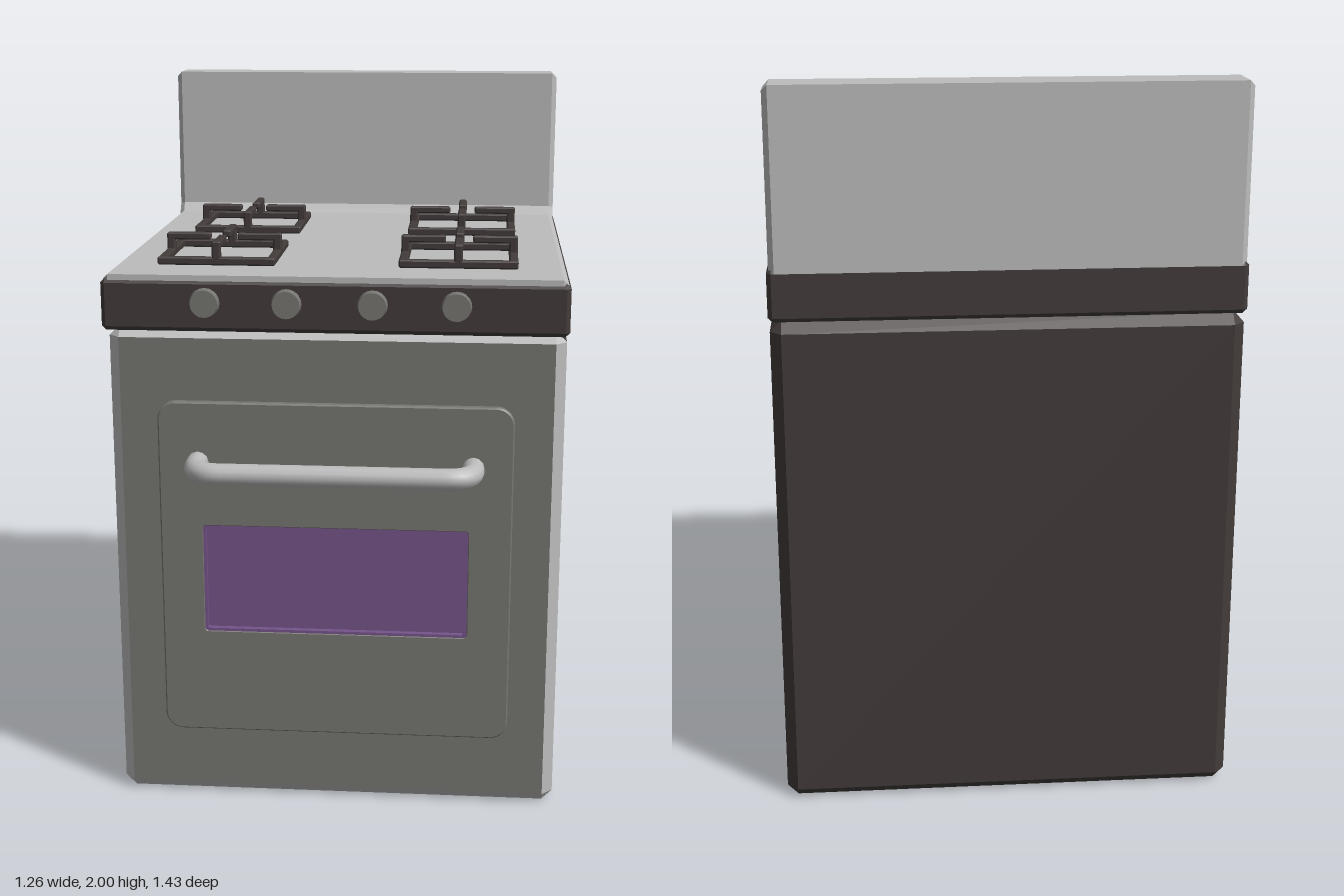
import * as THREE from 'three';
import { ConvexGeometry } from 'three/addons/geometries/ConvexGeometry.js';

const material = (name, color) => {
  const m = new THREE.MeshStandardMaterial({ color });
  m.name = name;
  return m;
};

// Box with every edge cut by a flat chamfer, centred on the origin
function chamferBox(w, h, d, c) {
  const points = [];
  for (const x of [-1, 1]) for (const y of [-1, 1]) for (const z of [-1, 1]) {
    const [a, b, e] = [w / 2, h / 2, d / 2];
    points.push(
      new THREE.Vector3(x * a, y * (b - c), z * (e - c)),
      new THREE.Vector3(x * (a - c), y * b, z * (e - c)),
      new THREE.Vector3(x * (a - c), y * (b - c), z * e));
  }
  return new ConvexGeometry(points);
}

// Rounded rectangle outline between two corners
function roundedRect(x0, y0, x1, y1, r, target = new THREE.Shape()) {
  target.moveTo(x0 + r, y0);
  target.lineTo(x1 - r, y0);
  target.absarc(x1 - r, y0 + r, r, -Math.PI / 2, 0, false);
  target.lineTo(x1, y1 - r);
  target.absarc(x1 - r, y1 - r, r, 0, Math.PI / 2, false);
  target.lineTo(x0 + r, y1);
  target.absarc(x0 + r, y1 - r, r, Math.PI / 2, Math.PI, false);
  target.lineTo(x0, y0 + r);
  target.absarc(x0 + r, y0 + r, r, Math.PI, Math.PI * 1.5, false);
  return target;
}

export function createModel() {
  const root = new THREE.Group();
  root.name = 'stove';
  const dark = material('dark enamel', 0x423b3a);
  const light = material('light steel', 0xbcbcbc);
  const grey = material('grey steel', 0x777672);
  const purple = material('purple glass', 0x75548a);

  const add = (name, geometry, mat, x = 0, y = 0, z = 0, parent = root) => {
    const mesh = new THREE.Mesh(geometry, mat);
    mesh.name = name;
    mesh.position.set(x, y, z);
    parent.add(mesh);
    return mesh;
  };

  // Oven body: dark cabinet, light front chamfer, grey front face
  const body = chamferBox(1.25, 1.39, 1.27, 0.03);
  const normals = body.attributes.normal;
  for (let i = 0; i < normals.count; i += 3) {
    const nz = normals.getZ(i);
    body.addGroup(i, 3, nz > 0.95 ? 2 : nz > 0.3 ? 1 : 0);
  }
  add('ovenBody', body, [dark, light, grey], 0, 0.695, -0.08);

  // Raised door panel with a window opening
  const door = roundedRect(-0.49, 0.21, 0.49, 1.185, 0.05);
  door.holes.push(roundedRect(-0.368, 0.517, 0.368, 0.828, 0.008, new THREE.Path()));
  add('doorPanel', new THREE.ExtrudeGeometry(door,
    { depth: 0.018, bevelEnabled: true, bevelSize: 0.004, bevelThickness: 0.004, bevelOffset: -0.004, bevelSegments: 1, curveSegments: 8 }),
    grey, 0, 0, 0.554);

  // Window glass and its recessed surround
  add('windowGlass', new THREE.BoxGeometry(0.74, 0.315, 0.004), purple, 0, 0.6725, 0.556);
  const surround = roundedRect(-0.37, 0.515, 0.37, 0.83, 0.008);
  surround.holes.push(roundedRect(-0.362, 0.523, 0.362, 0.822, 0.006, new THREE.Path()));
  add('windowSurround', new THREE.ExtrudeGeometry(surround,
    { depth: 0.018, bevelEnabled: false, curveSegments: 4 }), purple, 0, 0, 0.556);

  // Door handle: a bar bent back to the door at both ends
  const v = (x, z) => new THREE.Vector3(x, 1.015, z);
  const path = new THREE.CurvePath();
  path.add(new THREE.LineCurve3(v(-0.38, 0.56), v(-0.38, 0.62)));
  path.add(new THREE.QuadraticBezierCurve3(v(-0.38, 0.62), v(-0.375, 0.683), v(-0.31, 0.685)));
  path.add(new THREE.LineCurve3(v(-0.31, 0.685), v(0.31, 0.685)));
  path.add(new THREE.QuadraticBezierCurve3(v(0.31, 0.685), v(0.375, 0.683), v(0.38, 0.62)));
  path.add(new THREE.LineCurve3(v(0.38, 0.62), v(0.38, 0.56)));
  add('doorHandle', new THREE.TubeGeometry(path, 64, 0.03, 12), light);

  // Dark control slab under the hob
  add('controlSlab', chamferBox(1.256, 0.142, 1.327, 0.012), dark, 0, 1.461, -0.0515);

  // Hob top and backsplash in one L-shaped profile, swept across the width
  const b = 0.015;
  const profile = new THREE.Shape();
  [[-0.605, 1.50], [0.715, 1.50], [0.715, 2.0], [0.597, 2.0], [0.595, 1.57], [0.575, 1.543], [-0.605, 1.543]]
    .forEach(([u, y], i) => (i ? profile.lineTo(u, y) : profile.moveTo(u, y)));
  const top = new THREE.ExtrudeGeometry(profile,
    { depth: 1.245 - 2 * b, bevelEnabled: true, bevelSize: b, bevelThickness: b, bevelOffset: -b, bevelSegments: 1 });
  top.translate(0, 0, -(1.245 - 2 * b) / 2);
  top.rotateY(Math.PI / 2);
  add('hobAndBacksplash', top, light);

  // Control knobs
  const knob = new THREE.CylinderGeometry(0.037, 0.041, 0.022, 20);
  knob.rotateX(Math.PI / 2);
  [-0.345, -0.125, 0.105, 0.328].forEach((x) => add('knob', knob, grey, x, 1.47, 0.621));

  // Pan supports: a square frame with four raised prongs
  const half = 0.163, t = 0.024;
  const bar = chamferBox(half * 2, 0.022, t, 0.004);
  const riser = chamferBox(t, 0.066, t, 0.004);
  const arm = chamferBox(0.125, 0.02, t, 0.004);
  for (const [x, z] of [[-0.328, -0.273], [0.328, -0.273], [-0.336, 0.297], [0.328, 0.297]]) {
    const grate = new THREE.Group();
    grate.name = 'panSupport';
    grate.position.set(x, 1.543, z);
    for (let i = 0; i < 4; i++) {
      const side = new THREE.Group();
      side.name = 'panSupportSide';
      side.rotation.y = i * Math.PI / 2;
      add('frameBar', bar, dark, 0, 0.012, half - t / 2, side);
      add('prongRiser', riser, dark, 0, 0.034, half - t / 2, side);
      add('prongArm', arm, dark, 0, 0.057, half - 0.0625, side).rotation.y = Math.PI / 2;
      grate.add(side);
    }
    root.add(grate);
  }
  return root;
}
